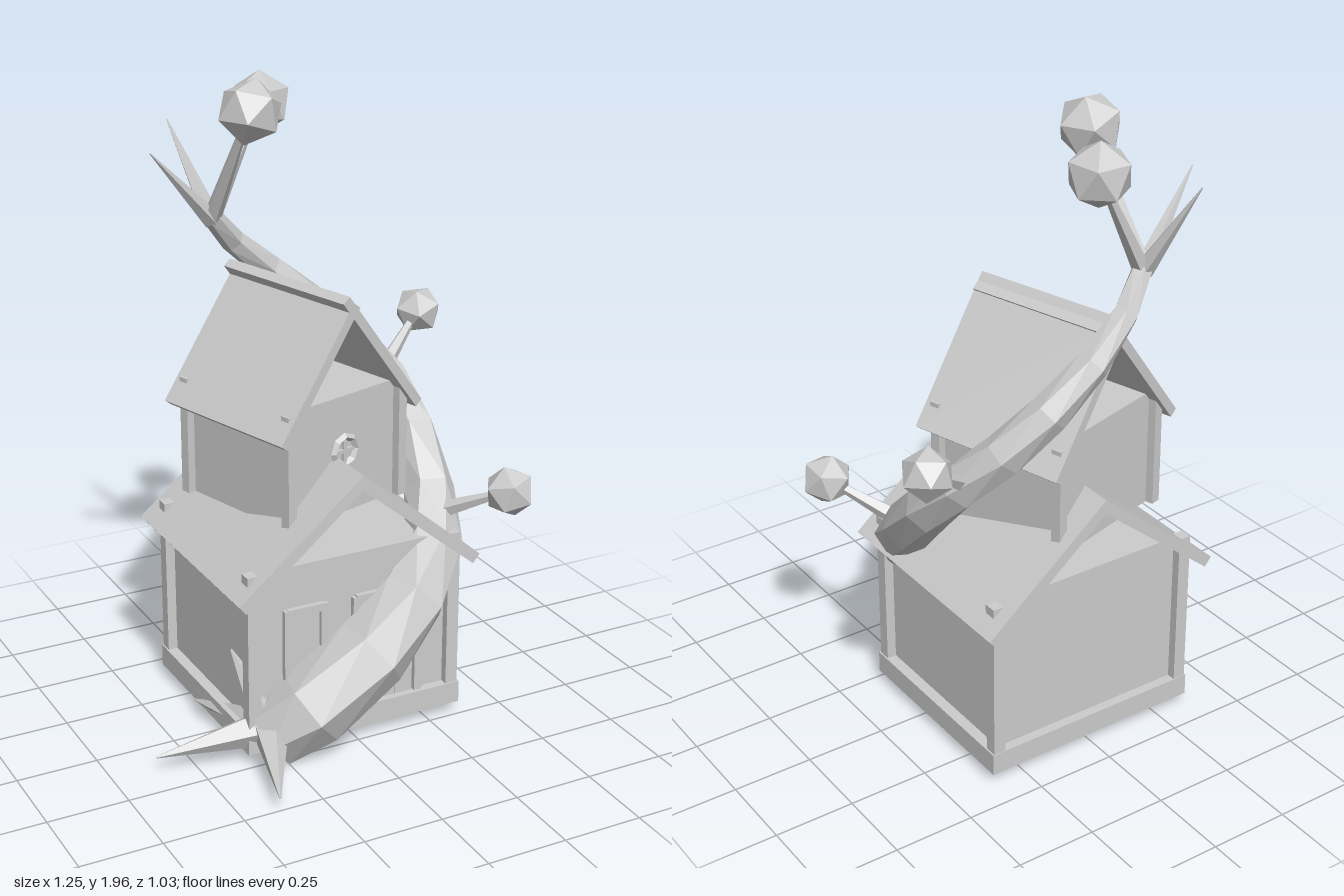
import * as THREE from 'three';

const V = (a) => new THREE.Vector3(...a);

export function createModel() {
  const root = new THREE.Group();
  const mat = new THREE.MeshStandardMaterial({ color: 0xcccccc, flatShading: true });

  const add = (parent, name, geo, pos = [0, 0, 0]) => {
    const m = new THREE.Mesh(geo, mat);
    m.name = name;
    m.position.set(...pos);
    parent.add(m);
    return m;
  };

  // box given by its minimum and maximum corners
  const box = (parent, name, a, b) => add(parent, name,
    new THREE.BoxGeometry(b[0] - a[0], b[1] - a[1], b[2] - a[2]),
    a.map((v, i) => (v + b[i]) / 2));

  // gable roof of two slabs; lap lets the left slab run past the ridge
  const roof = (parent, name, w, eaveY, ridgeY, t, z0, z1, lap) => {
    for (const s of [1, -1]) {
      const d = new THREE.Vector2(-w, ridgeY - eaveY).normalize();
      const n = new THREE.Vector2(d.y, -d.x);
      const ext = s > 0 ? lap : 0;
      const tx = d.x * ext, ty = ridgeY + d.y * ext;
      const inner = lap ? [tx - n.x * t, ty - n.y * t] : [0, ridgeY - t / n.y];
      const pts = [[w, eaveY], [tx, ty], inner, [w - n.x * t, eaveY - n.y * t]];
      const shape = new THREE.Shape(pts.map(([x, y]) => new THREE.Vector2(s * x, y)));
      add(parent, name, new THREE.ExtrudeGeometry(shape, { depth: z1 - z0, bevelEnabled: false }), [0, 0, z0]);
    }
  };

  // tapered six-sided stem between two points
  const spike = (name, from, to, r0, r1) => {
    const a = V(from), b = V(to), dir = b.clone().sub(a);
    const m = add(root, name, new THREE.CylinderGeometry(r1, r0, dir.length(), 5));
    m.position.copy(a).add(b).multiplyScalar(0.5);
    m.quaternion.setFromUnitVectors(new THREE.Vector3(0, 1, 0), dir.normalize());
  };

  // lower house
  const lower = new THREE.Group();
  lower.name = 'lowerHouse';
  root.add(lower);
  box(lower, 'base', [-0.36, 0.07, -0.41], [0.36, 0.14, 0.235]);
  box(lower, 'lowerWalls', [-0.325, 0.13, -0.38], [0.325, 0.64, 0.205]);
  for (const x of [-0.335, 0.335]) for (const z of [-0.388, 0.21]) {
    box(lower, 'lowerPost', [x - 0.02, 0.13, z - 0.02], [x + 0.02, 0.645, z + 0.02]);
  }
  roof(lower, 'lowerRoof', 0.4, 0.58, 0.91, 0.035, -0.455, 0.27, 0);

  // front window and plank door
  box(lower, 'windowPane', [-0.21, 0.28, 0.2], [-0.11, 0.48, 0.21]);
  for (const x of [-0.22, -0.1]) box(lower, 'windowFrame', [x - 0.012, 0.26, 0.2], [x + 0.012, 0.505, 0.222]);
  for (const y of [0.27, 0.495]) box(lower, 'windowFrame', [-0.22, y - 0.012, 0.2], [-0.1, y + 0.012, 0.222]);
  for (let i = 0; i < 3; i++) {
    box(lower, 'doorPlank', [0.02 + i * 0.062, 0.14, 0.2], [0.08 + i * 0.062, 0.48, 0.213]);
  }
  for (const x of [0.008, 0.22]) box(lower, 'doorFrame', [x - 0.012, 0.14, 0.2], [x + 0.012, 0.5, 0.222]);
  box(lower, 'doorFrame', [0.008, 0.48, 0.2], [0.22, 0.505, 0.222]);
  add(lower, 'doorKnob', new THREE.IcosahedronGeometry(0.009), [0.17, 0.29, 0.22]);

  // upper house, turned on the roof
  const upper = new THREE.Group();
  upper.name = 'upperHouse';
  upper.position.set(-0.03, 0, -0.12);
  upper.rotation.y = 0.28;
  root.add(upper);
  box(upper, 'upperWalls', [-0.215, 0.72, -0.215], [0.215, 1.09, 0.215]);
  for (const x of [-0.225, 0.225]) for (const z of [-0.225, 0.225]) {
    box(upper, 'upperPost', [x - 0.016, 0.72, z - 0.016], [x + 0.016, 1.09, z + 0.016]);
  }
  roof(upper, 'upperRoof', 0.285, 1.02, 1.385, 0.03, -0.26, 0.26, 0.03);

  // round window
  add(upper, 'roundWindowFrame', new THREE.TorusGeometry(0.045, 0.012, 4, 8), [0, 0.92, 0.222]);
  box(upper, 'roundWindowBar', [-0.04, 0.914, 0.21], [0.04, 0.926, 0.226]);
  box(upper, 'roundWindowBar', [-0.006, 0.88, 0.21], [0.006, 0.96, 0.226]);

  // winding trunk: x, y, z, radius of each ring
  const rings = [
    [-0.29, 0.1, 0.2, 0], [-0.27, 0.11, 0.21, 0.105], [-0.17, 0.2, 0.265, 0.125],
    [0.03, 0.34, 0.275, 0.12], [0.19, 0.47, 0.24, 0.105], [0.31, 0.6, 0.15, 0.088],
    [0.36, 0.71, 0.03, 0.08], [0.385, 0.85, -0.12, 0.075], [0.36, 0.98, -0.25, 0.07],
    [0.28, 1.1, -0.35, 0.065], [0.17, 1.22, -0.41, 0.058], [0.04, 1.34, -0.43, 0.048],
    [-0.09, 1.45, -0.405, 0.038], [-0.18, 1.55, -0.36, 0.03], [-0.195, 1.575, -0.35, 0],
  ];
  const SIDES = 6, pos = [], idx = [];
  rings.forEach((p, i) => {
    const c = V(p), prev = V(rings[Math.max(i - 1, 0)]), next = V(rings[Math.min(i + 1, rings.length - 1)]);
    const t = next.sub(prev).normalize();
    const u = t.clone().cross(new THREE.Vector3(0, 1, 0)).normalize();
    const v = u.clone().cross(t);
    for (let j = 0; j < SIDES; j++) {
      const a = (j / SIDES) * Math.PI * 2;
      const q = c.clone().addScaledVector(u, p[3] * Math.cos(a)).addScaledVector(v, -p[3] * Math.sin(a));
      pos.push(q.x, q.y, q.z);
      if (i < rings.length - 1) {
        const A = i * SIDES + j, B = i * SIDES + (j + 1) % SIDES;
        idx.push(A, B, A + SIDES, B, B + SIDES, A + SIDES);
      }
    }
  });
  const indexed = new THREE.BufferGeometry();
  indexed.setAttribute('position', new THREE.Float32BufferAttribute(pos, 3));
  indexed.setIndex(idx);
  const trunk = indexed.toNonIndexed();
  trunk.computeVertexNormals();
  add(root, 'trunk', trunk);

  // roots at the foot
  for (const tip of [[-0.62, 0.09, 0.15], [-0.395, 0.09, 0.515], [-0.38, 0.09, -0.12], [-0.36, 0.37, 0.12]]) {
    spike('rootSpike', [-0.28, 0.14, 0.21], tip, 0.06, 0.003);
  }

  // bare twigs at the tip
  const top = [-0.18, 1.54, -0.36];
  for (const tip of [[-0.4, 1.78, -0.29], [-0.25, 1.82, -0.515]]) spike('twig', top, tip, 0.03, 0.002);

  // stems carrying faceted leaf balls
  const balls = [
    [top, [-0.15, 1.905, -0.145], 0.098],
    [top, [-0.005, 1.87, -0.385], 0.097],
    [[0.35, 0.99, -0.27], [0.55, 1.14, -0.385], 0.078],
    [[0.34, 0.68, 0.13], [0.48, 0.78, 0.3], 0.08],
  ];
  balls.forEach(([from, to, r], i) => {
    spike('stem', from, to, 0.028, 0.01);
    const ball = add(root, 'leafBall', new THREE.IcosahedronGeometry(r), to);
    ball.rotation.set(0.3 * i, 0.5 + i, 0.2);
  });

  return root;
}
